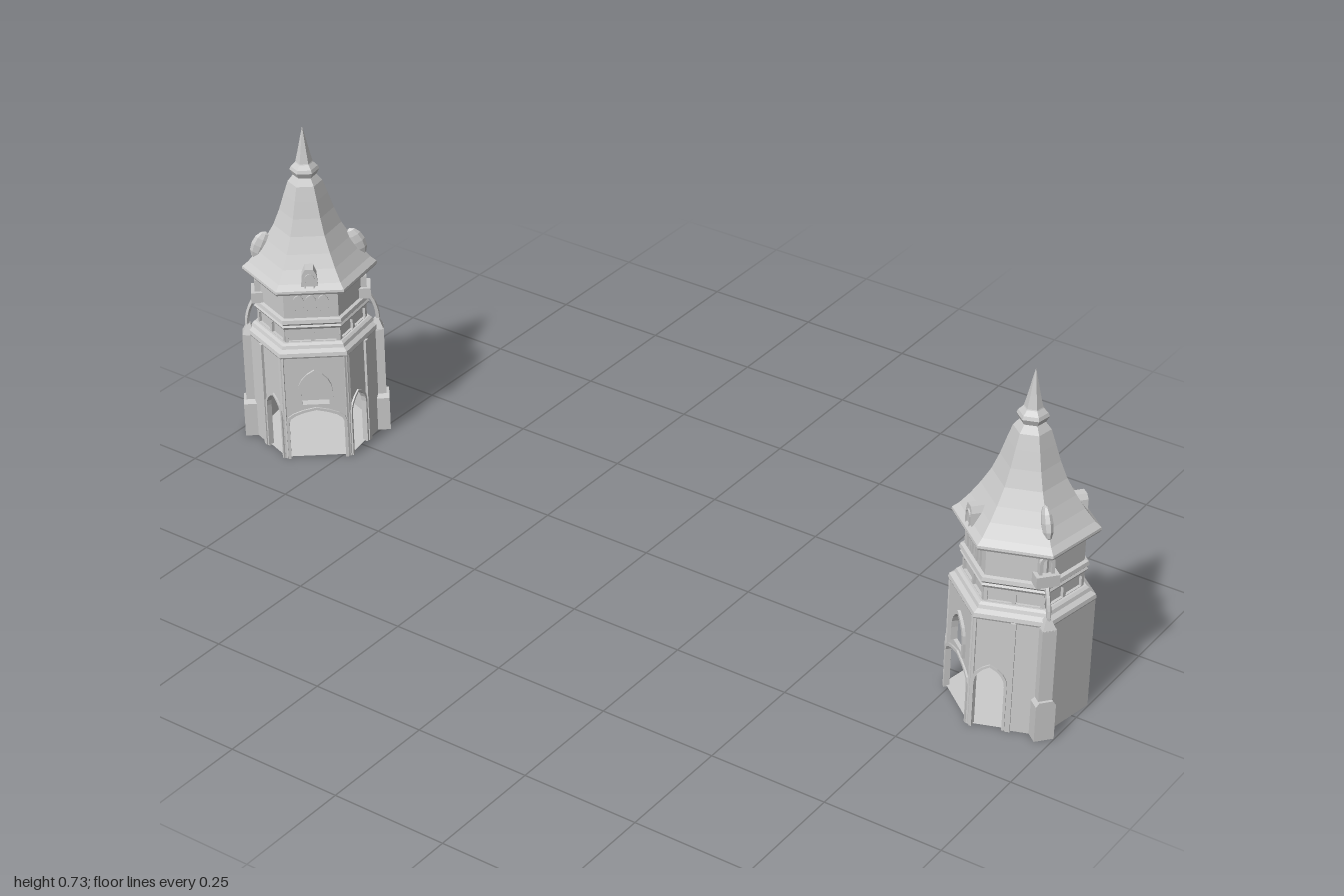
import * as THREE from 'three';

const mat = new THREE.MeshStandardMaterial({ color: 0xcccccc, flatShading: true, side: THREE.DoubleSide });
const DEG = Math.PI / 180;
const V = (x, y) => new THREE.Vector2(x, y);

function add(parent, name, geo) {
  const m = new THREE.Mesh(geo, mat);
  m.name = name;
  parent.add(m);
  return m;
}

// Turn an object built facing +z so it faces angle a (from +x to +z), at distance d
function face(obj, a, d, y = 0) {
  obj.rotation.y = (90 - a) * DEG;
  obj.position.set(Math.cos(a * DEG) * d, y, Math.sin(a * DEG) * d);
  return obj;
}

// Six-sided turned form; corners lie at 30 + 60k degrees
const hex = (pts) => new THREE.LatheGeometry(pts.map(([r, y]) => V(r, y)), 6);

const extrude = (shape, depth) => new THREE.ExtrudeGeometry(shape, { depth, bevelEnabled: false });

// Pointed arch outline from bottom left over the point to bottom right
function arch(w, h, rise, cx = 0, y0 = 0) {
  const left = new THREE.QuadraticBezierCurve(V(-w / 2, h - rise), V(-w / 2, h - rise * 0.35), V(0, h)).getPoints(4);
  const right = left.slice(0, -1).reverse().map((p) => V(-p.x, p.y));
  return [V(-w / 2, 0), ...left, ...right, V(w / 2, 0)].map((p) => V(p.x + cx, p.y + y0));
}

const archFrame = (w, h, rise, t, depth, cx = 0, y0 = 0) => extrude(
  new THREE.Shape([...arch(w + 2 * t, h + t, rise + t * 0.5, cx, y0), ...arch(w, h, rise, cx, y0).reverse()]), depth);

// Wall panel, with an optional doorway cut up from the ground and an optional window
function wallPanel(door, windowArch) {
  const outline = [V(-0.07, 0), V(-0.07, 0.246), V(0.07, 0.246), V(0.07, 0)];
  if (door) outline.push(...arch(...door).reverse());
  const s = new THREE.Shape(outline);
  if (windowArch) s.holes.push(new THREE.Path(arch(...windowArch)));
  return extrude(s, 0.008);
}

// Arcade panel with two arched openings
function arcadePanel() {
  const s = new THREE.Shape([V(-0.057, 0.268), V(0.057, 0.268), V(0.057, 0.306), V(-0.057, 0.306)]);
  for (const cx of [-0.027, 0.027]) s.holes.push(new THREE.Path(arch(0.046, 0.029, 0.008, cx, 0.273)));
  return extrude(s, 0.006);
}

function buttress() {
  const g = new THREE.Group();
  g.name = 'buttress';
  const foot = [V(-0.02, 0), V(0.02, 0), V(0.02, 0.078), V(0.014, 0.087), V(-0.014, 0.087), V(-0.02, 0.078)];
  add(g, 'buttressFoot', extrude(new THREE.Shape(foot), 0.034)).position.z = 0.122;
  add(g, 'buttressShaft', new THREE.BoxGeometry(0.028, 0.245, 0.03)).position.set(0, 0.1225, 0.135);
  const cap = add(g, 'buttressCap', new THREE.CylinderGeometry(0.006, 0.02, 0.024, 4));
  cap.rotation.y = Math.PI / 4;
  cap.position.set(0, 0.255, 0.136);
  // Flying strut from the cap to the upper storey
  const path = new THREE.QuadraticBezierCurve3(
    new THREE.Vector3(0, 0.255, 0.138), new THREE.Vector3(0, 0.295, 0.142), new THREE.Vector3(0, 0.33, 0.118));
  add(g, 'flyingStrut', new THREE.TubeGeometry(path, 6, 0.005, 5));
  // Small corbelled bay on the upper corner
  add(g, 'cornerBalcony', new THREE.BoxGeometry(0.046, 0.024, 0.028)).position.set(0, 0.338, 0.112);
  add(g, 'cornerBayFrame', archFrame(0.018, 0.034, 0.012, 0.006, 0.018)).position.set(0, 0.35, 0.1);
  add(g, 'cornerBayWall', new THREE.BoxGeometry(0.03, 0.046, 0.02)).position.set(0, 0.372, 0.101);
  // Swelling on the roof ridge
  const swell = add(g, 'ridgeSwelling', new THREE.SphereGeometry(1, 8, 6));
  swell.scale.set(0.011, 0.034, 0.02);
  swell.rotation.x = -0.4;
  swell.position.set(0, 0.452, 0.1);
  return g;
}

function dormer(w, h) {
  const g = new THREE.Group();
  g.name = 'dormer';
  const pts = [[-0.5, 0], [-0.42, 0.7], [-0.24, 1], [0.24, 1], [0.42, 0.7], [0.5, 0]].map(([x, y]) => V(x * w, y * h));
  add(g, 'dormerBody', extrude(new THREE.Shape(pts), 0.055)).position.z = -0.055;
  add(g, 'dormerFrame', archFrame(w * 0.42, h * 0.72, h * 0.25, 0.003, 0.003));
  return g;
}

function tower() {
  const g = new THREE.Group();

  // Closed walls, side doors set towards the open front, and a wide main opening with a window
  const mainDoor = [0.116, 0.118, 0.03];
  const mainWindow = [0.058, 0.078, 0.05, 0, 0.13];
  for (let a = 0; a < 360; a += 60) {
    face(add(g, 'arcade', arcadePanel()), a, 0.0945);
    if (a === 180) {
      face(add(g, 'mainDoorWall', wallPanel(mainDoor, mainWindow)), a, 0.1133);
      face(add(g, 'mainDoorFrame', archFrame(...mainDoor.slice(0, 3), 0.006, 0.005)), a, 0.12);
      const [w, h, rise, cx, y0] = mainWindow;
      face(add(g, 'mainWindowFrame', archFrame(w, h, rise, 0.008, 0.007, cx, y0)), a, 0.12);
    } else if (a === 120 || a === 240) {
      const cx = a === 120 ? -0.034 : 0.034;
      face(add(g, 'sideDoorWall', wallPanel([0.058, 0.14, 0.04, cx])), a, 0.1133);
      face(add(g, 'sideDoorFrame', archFrame(0.058, 0.14, 0.04, 0.005, 0.005, cx)), a, 0.12);
      const pilaster = new THREE.BoxGeometry(0.01, 0.246, 0.008);
      pilaster.translate(-Math.sign(cx) * 0.006, 0.123, 0);
      face(add(g, 'pilaster', pilaster), a, 0.123);
    } else {
      face(add(g, 'wall', wallPanel()), a, 0.1133);
    }
  }
  for (const a of [150, 210]) {
    face(add(g, 'cornerShaft', new THREE.BoxGeometry(0.012, 0.246, 0.01)), a, 0.134, 0.123);
  }

  // Floor
  const floor = add(g, 'floor', new THREE.CircleGeometry(0.138, 6, Math.PI / 6));
  floor.rotation.x = -Math.PI / 2;
  floor.position.y = 0.003;

  // Cornice, recessed arcade core, band and upper storey
  add(g, 'cornice', hex([[0, 0.243], [0.14, 0.243], [0.142, 0.247], [0.14, 0.255], [0.13, 0.261],
    [0.127, 0.268], [0.121, 0.272], [0.108, 0.272]]));
  add(g, 'arcadeCore', hex([[0.109, 0.266], [0.109, 0.308]]));
  add(g, 'band', hex([[0.109, 0.302], [0.118, 0.303], [0.122, 0.309], [0.119, 0.313], [0.124, 0.318],
    [0.122, 0.326], [0.114, 0.328]]));
  add(g, 'upperStorey', hex([[0.114, 0.326], [0.114, 0.397]]));

  // Windows on the upper storey above the main opening
  for (const x of [-0.026, 0, 0.026]) {
    face(add(g, 'upperWindowFrame', archFrame(0.014, 0.044, 0.012, 0.004, 0.007, x, 0.335)), 180, 0.096);
  }

  // Concave roof with eaves, collar and spire
  add(g, 'roof', hex([[0, 0.395], [0.139, 0.394], [0.142, 0.399], [0.141, 0.404], [0.128, 0.415], [0.108, 0.44],
    [0.09, 0.467], [0.071, 0.5], [0.057, 0.535], [0.046, 0.57], [0.036, 0.6], [0.024, 0.615]]));
  add(g, 'collar', hex([[0.018, 0.612], [0.025, 0.615], [0.031, 0.627], [0.028, 0.634], [0.019, 0.643], [0.017, 0.647]]));
  add(g, 'spire', hex([[0.018, 0.645], [0.012, 0.67], [0.006, 0.698], [0, 0.725]]));

  g.add(face(dormer(0.034, 0.034), 0, 0.115, 0.408));
  g.add(face(dormer(0.036, 0.042), 180, 0.115, 0.408));
  for (const a of [90, 270]) g.add(face(buttress(), a, 0));
  return g;
}

export function createModel() {
  const model = new THREE.Group();
  model.name = 'twinTowers';
  for (const s of [1, -1]) {
    const t = tower();
    t.name = s > 0 ? 'frontTower' : 'backTower';
    t.rotation.y = -40 * DEG * s;
    t.position.z = 0.866 * s;
    model.add(t);
  }
  return model;
}
